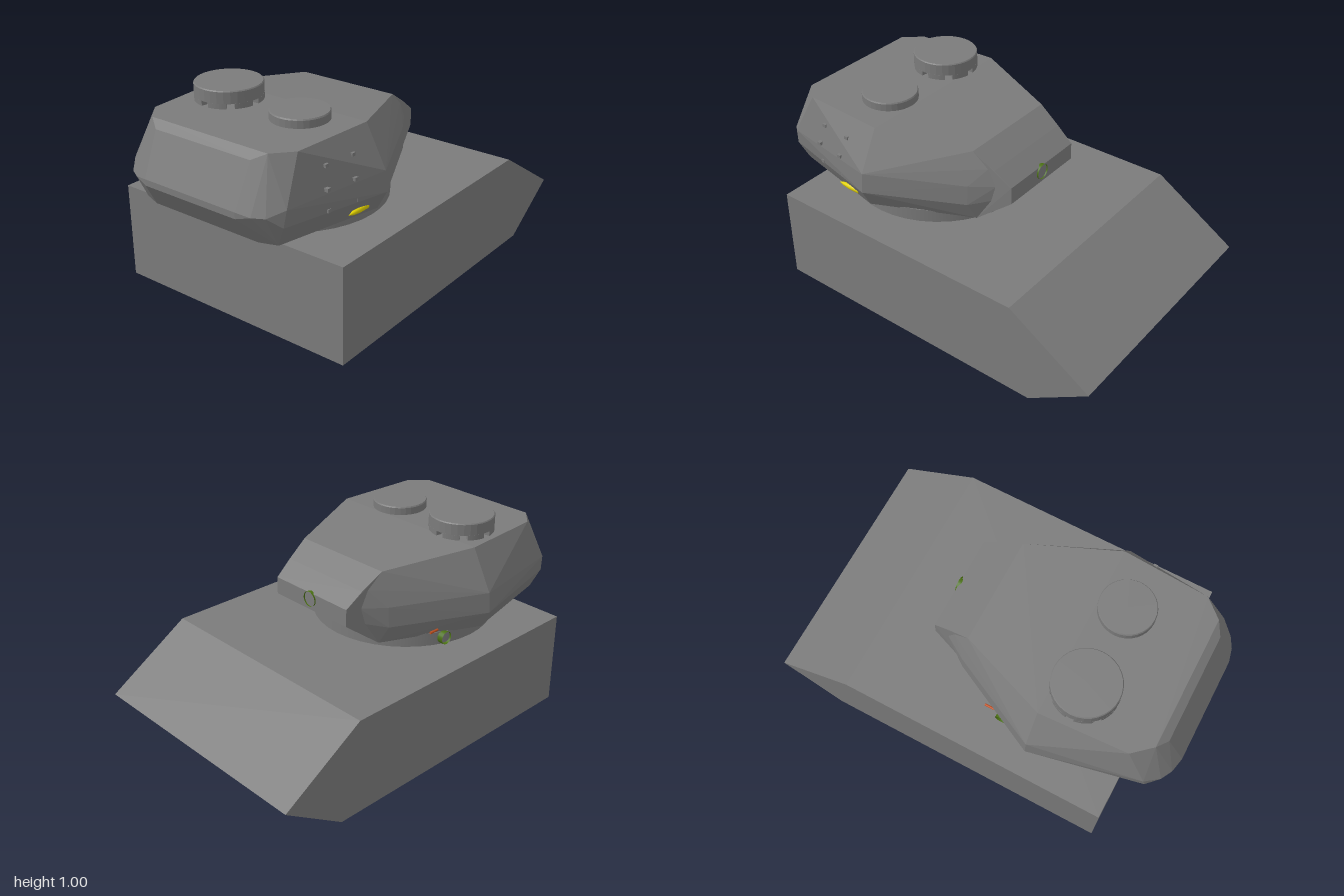
import * as THREE from 'three';
import { ConvexGeometry } from 'three/addons/geometries/ConvexGeometry.js';

const grey = new THREE.MeshStandardMaterial({ color: 0x7b7b7b });
const flat = new THREE.MeshStandardMaterial({ color: 0x7b7b7b, flatShading: true });
const olive = new THREE.MeshStandardMaterial({ color: 0x4a7012, side: THREE.DoubleSide });
const yellow = new THREE.MeshStandardMaterial({ color: 0xe0d000 });
const orange = new THREE.MeshStandardMaterial({ color: 0xc05020 });

function add(parent, name, geometry, material, x = 0, y = 0, z = 0) {
  const mesh = new THREE.Mesh(geometry, material);
  mesh.name = name;
  mesh.position.set(x, y, z);
  parent.add(mesh);
  return mesh;
}

function extrude(points, depth) {
  const shape = new THREE.Shape(points.map(([x, y]) => new THREE.Vector2(x, y)));
  return new THREE.ExtrudeGeometry(shape, { depth, bevelEnabled: false });
}

function lathe(points, segments) {
  return new THREE.LatheGeometry(points.map(([r, y]) => new THREE.Vector2(r, y)), segments);
}

function openTube(radius, length) {
  return new THREE.CylinderGeometry(radius, radius, length, 20, 1, true);
}

// Convex solid from half of its corners, mirrored across z
function mirroredHull(half) {
  const points = half.flatMap(([x, y, z]) => [new THREE.Vector3(x, y, z), new THREE.Vector3(x, y, -z)]);
  return new ConvexGeometry(points);
}

// Distance of the sloping turret side wall from the centre plane
function sideZ(x, y) {
  const t = (x + 0.78) / 0.43;
  const top = THREE.MathUtils.lerp(0.41, 0.435, t);
  const mid = THREE.MathUtils.lerp(0.465, 0.54, t);
  const low = THREE.MathUtils.lerp(0.415, 0.5, t);
  return y > 0.7 ? THREE.MathUtils.mapLinear(y, 0.92, 0.7, top, mid)
    : THREE.MathUtils.mapLinear(y, 0.53, 0.7, low, mid);
}

function buildHull(parent) {
  const hull = new THREE.Group();
  hull.name = 'hull';
  parent.add(hull);
  const profile = [[-0.785, 0.003], [0.69, 0.003], [1, 0.212], [0.58, 0.475], [-0.785, 0.475]];
  add(hull, 'hullBody', extrude(profile, 1.276), flat, 0, 0, -0.638);

  // Small studs on the lower nose plate
  for (const y of [0.11, 0.155]) {
    for (const z of [0.16, 0.03, -0.12, -0.21]) {
      const stud = add(hull, 'noseStud', new THREE.BoxGeometry(0.012, 0.006, 0.014), grey, 0.686 + 0.31 * y / 0.21, y, z);
      stud.rotation.z = Math.atan2(0.21, 0.31);
    }
  }
  add(hull, 'floorPlug', new THREE.BoxGeometry(0.045, 0.008, 0.045), grey, 0.44, 0.004, -0.025);
}

function buildTurret(parent) {
  const turret = new THREE.Group();
  turret.name = 'turret';
  turret.position.z = -0.004;
  parent.add(turret);

  add(turret, 'turretRing', new THREE.CylinderGeometry(0.455, 0.455, 0.07, 40), grey, -0.33, 0.505, 0);

  // Main armoured shell: roof, side walls, rounded cheeks and rear
  add(turret, 'turretShell', mirroredHull([
    // roof
    [-0.87, 0.92, 0.33], [-0.78, 0.92, 0.41], [-0.35, 0.92, 0.435], [0.09, 0.88, 0.265],
    // side walls
    [-0.35, 0.72, 0.54], [-0.35, 0.62, 0.548], [-0.35, 0.53, 0.5],
    [0.1, 0.72, 0.32], [0.1, 0.62, 0.325],
    // front of the cheeks
    [0.17, 0.81, 0.255], [0.215, 0.73, 0.25], [0.2, 0.65, 0.255], [0.12, 0.53, 0.28],
    // rounded rear corners
    [-0.89, 0.71, 0.44], [-0.9, 0.63, 0.43], [-0.955, 0.68, 0.385],
    [-0.985, 0.68, 0.33], [-1, 0.69, 0.26], [-1, 0.66, 0.26],
    [-0.91, 0.89, 0.27], [-0.91, 0.53, 0.3], [-0.88, 0.53, 0.385],
  ]), flat);

  // Front plate block between the cheeks
  add(turret, 'frontPlate', mirroredHull([
    [0, 0.885, 0.265], [0.09, 0.88, 0.265], [0.2, 0.81, 0.25], [0.288, 0.745, 0.24],
    [0.29, 0.66, 0.24], [0.12, 0.53, 0.28], [0, 0.53, 0.28],
  ]), flat);

  // Cupola: drum raised on a ring of arc-shaped blocks
  const cupola = new THREE.Group();
  cupola.name = 'cupola';
  cupola.position.set(-0.485, 0.92, -0.236);
  turret.add(cupola);
  const drum = [[0, 0.024], [0.16, 0.024], [0.16, 0.079], [0.156, 0.084], [0, 0.084]];
  add(cupola, 'cupolaDrum', lathe(drum, 32), flat);
  const count = 8, arc = Math.PI * 2 / count, gap = 0.24;
  for (let i = 0; i < count; i++) {
    const a = i * arc + gap / 2, b = (i + 1) * arc - gap / 2;
    const block = new THREE.Shape();
    block.absarc(0, 0, 0.16, a, b, false);
    block.absarc(0, 0, 0.128, b, a, true);
    const geometry = new THREE.ExtrudeGeometry(block, { depth: 0.025, bevelEnabled: false, curveSegments: 4 });
    add(cupola, 'cupolaBlock', geometry.rotateX(-Math.PI / 2), grey);
  }

  // Low round hatch
  const lid = [[0.136, 0], [0.136, 0.036], [0.132, 0.042], [0, 0.042]];
  add(turret, 'roofHatch', lathe(lid, 32), flat, -0.485, 0.92, 0.179);

  // Studs on the front-facing side wall
  for (const [x, y] of [[-0.66, 0.83], [-0.5, 0.83], [-0.68, 0.735], [-0.525, 0.735], [-0.67, 0.635], [-0.51, 0.635]]) {
    add(turret, 'sideStud', new THREE.BoxGeometry(0.02, 0.016, 0.03), grey, x, y, sideZ(x, y) + 0.004);
  }

  // Open collars on the front plate and beside the turret ring
  add(turret, 'frontCollar', openTube(0.038, 0.03).rotateZ(Math.PI / 2), olive, 0.281, 0.715, 0.004);
  add(turret, 'ringCollar', openTube(0.032, 0.03).rotateX(Math.PI / 2), olive, -0.17, 0.51, -0.43);

  // Rounds lying along the lower side walls
  const round = [[0, 0], [0.014, 0], [0.014, 0.06], [0.009, 0.1], [0, 0.13]];
  const shell = add(turret, 'shell', lathe(round, 16), yellow, -0.425, 0.57, 0.495);
  shell.rotation.z = Math.PI / 2;
  add(turret, 'smallRound', new THREE.CylinderGeometry(0.006, 0.006, 0.05, 12).rotateZ(Math.PI / 2), orange, -0.1, 0.565, -0.425);
}

export function createModel() {
  const model = new THREE.Group();
  model.name = 'turretedVehicle';
  buildHull(model);
  buildTurret(model);
  return model;
}
